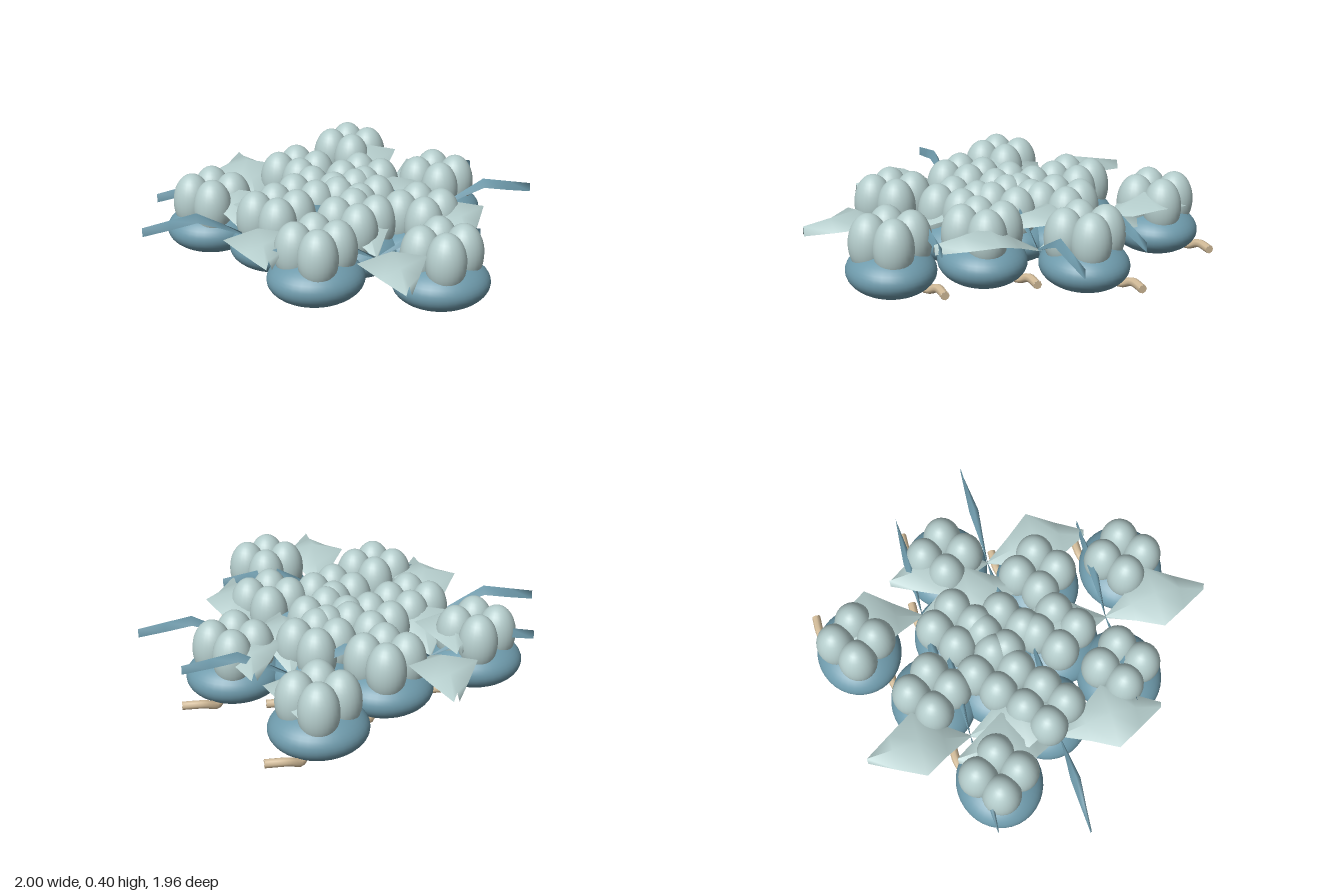
import * as THREE from 'three';

const slate = new THREE.MeshStandardMaterial({ color: 0x6e9aab, side: THREE.DoubleSide });
slate.name = 'slateBlue';
const sage = new THREE.MeshStandardMaterial({ color: 0xb4cccb, side: THREE.DoubleSide });
sage.name = 'paleSage';
const tan = new THREE.MeshStandardMaterial({ color: 0xd4bd9a });
tan.name = 'stemTan';

function part(name, geometry, material, parent) {
  const mesh = new THREE.Mesh(geometry, material);
  mesh.name = name;
  parent.add(mesh);
  return mesh;
}

// Folded diamond plate running along +z: low base, high middle, drooping tip
function leafGeometry(halfWidth) {
  const rows = [ // [distance, width factor, spine height, edge drop]
    [0, 0.03, 0.205, 0.01], [0.13, 0.5, 0.28, 0.025], [0.25, 1, 0.345, 0.042],
    [0.38, 0.55, 0.32, 0.045], [0.51, 0.08, 0.295, 0.045],
  ];
  const geo = new THREE.PlaneGeometry(2, 1, 2, rows.length - 1);
  const pos = geo.attributes.position;
  for (let i = 0; i < pos.count; i++) {
    const side = pos.getX(i);
    const [z, w, y, drop] = rows[Math.floor(i / 3)];
    pos.setXYZ(i, side * w * halfWidth, y - Math.abs(side) * drop, z);
  }
  geo.computeVertexNormals();
  return geo;
}

// Curved stem from the underside of the fruit
function stemGeometry() {
  const path = new THREE.CatmullRomCurve3([
    new THREE.Vector3(0.07, 0.07, -0.1),
    new THREE.Vector3(0.1, 0.045, -0.14),
    new THREE.Vector3(0.16, 0.07, -0.17),
    new THREE.Vector3(0.265, 0.073, -0.172),
  ]);
  return new THREE.TubeGeometry(path, 14, 0.021, 8);
}

export function createModel() {
  const model = new THREE.Group();
  model.name = 'fruitCluster';

  const bodyGeo = new THREE.SphereGeometry(1, 36, 24).scale(0.232, 0.118, 0.212);
  const lobeGeo = new THREE.SphereGeometry(1, 24, 18).scale(0.096, 0.145, 0.096);
  const stemGeo = stemGeometry();
  const endGeo = new THREE.CircleGeometry(0.021, 8).rotateY(Math.PI / 2).translate(0.265, 0.073, -0.172);

  // Four-lobed fruits: [x, z]
  const fruits = [
    [0.228, -0.772], [-0.13, -0.477], [-0.617, -0.275], [0.553, -0.232],
    [0.163, -0.28], [-0.12, -0.15], [-0.352, 0.035], [0.08, -0.055],
    [0.005, 0.2], [0.333, 0.195], [-0.252, 0.45], [0.298, 0.633],
  ];
  for (const [x, z] of fruits) {
    const fruit = new THREE.Group();
    fruit.name = 'fruit';
    fruit.position.set(x, 0, z);
    part('fruitBody', bodyGeo, slate, fruit).position.y = 0.128;
    for (let i = 0; i < 4; i++) {
      const a = 0.14 + i * Math.PI / 2;
      part('crownLobe', lobeGeo, sage, fruit)
        .position.set(Math.sin(a) * -0.1, 0.265, Math.cos(a) * 0.1);
    }
    part('stem', stemGeo, tan, fruit);
    part('stemEnd', endGeo, tan, fruit);
    model.add(fruit);
  }

  // Leaf sprigs: broad leaves to front and back, narrow leaves to both sides
  const broad = leafGeometry(0.163);
  const narrow = leafGeometry(0.024);
  const sprigs = [[-0.377, -0.353], [0.3, -0.42], [0.487, -0.025], [-0.497, 0.065], [0.035, 0.467]];
  for (const [x, z] of sprigs) {
    const sprig = new THREE.Group();
    sprig.name = 'leafSprig';
    sprig.position.set(x, 0, z);
    for (let i = 0; i < 4; i++) {
      const isNarrow = i % 2 === 1;
      part(isNarrow ? 'narrowLeaf' : 'broadLeaf', isNarrow ? narrow : broad,
        isNarrow ? slate : sage, sprig).rotation.y = i * Math.PI / 2;
    }
    model.add(sprig);
  }
  return model;
}
